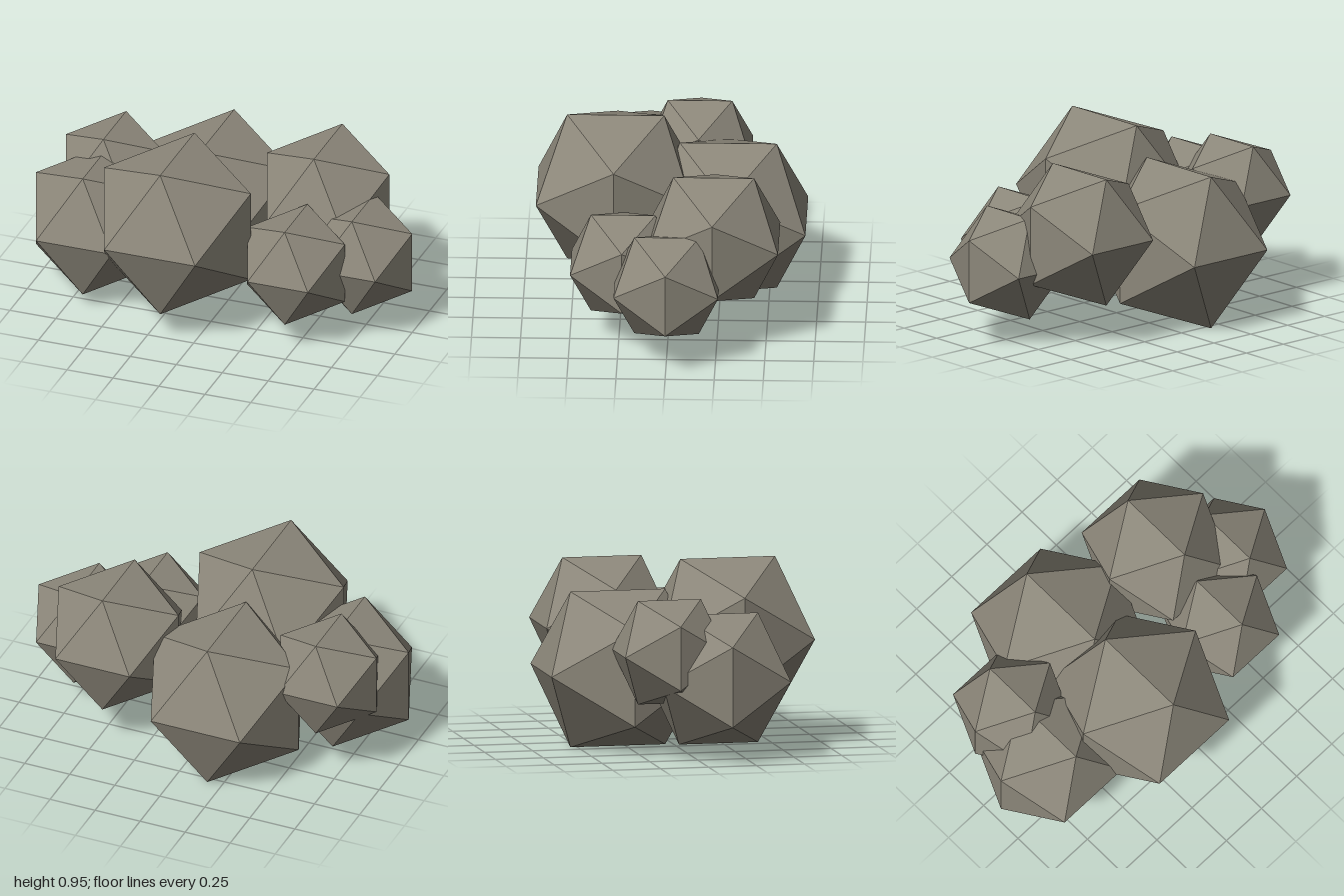
import * as THREE from 'three';

const stone = new THREE.MeshStandardMaterial({ color: 0x8c877a, flatShading: true });
stone.name = 'stone';

// An icosahedron reaches this fraction of its radius along each axis.
const REACH = 0.8507;

// Each boulder: name, half width, centre x, y, z
const boulders = [
  ['largeFrontBoulder', 0.4, -0.17, 0.55, 0.285],
  ['largeBackBoulder', 0.4, -0.17, 0.4, -0.288],
  ['mediumLeftBoulder', 0.333, 0.455, 0.55, -0.232],
  ['mediumRightBoulder', 0.333, -0.667, 0.404, 0.126],
  ['smallFrontBoulder', 0.266, 0.455, 0.404, 0.229],
  ['smallOuterBoulder', 0.266, 0.734, 0.404, 0],
  ['smallBackBoulder', 0.266, -0.667, 0.55, -0.13],
];

export function createModel() {
  const group = new THREE.Group();
  group.name = 'boulderCluster';
  for (const [name, half, x, y, z] of boulders) {
    // Quarter turn so the top edge runs along z
    const geometry = new THREE.IcosahedronGeometry(half / REACH, 0).rotateY(Math.PI / 2);
    const boulder = new THREE.Mesh(geometry, stone);
    boulder.name = name;
    boulder.position.set(x, y, z);
    group.add(boulder);
  }
  return group;
}
